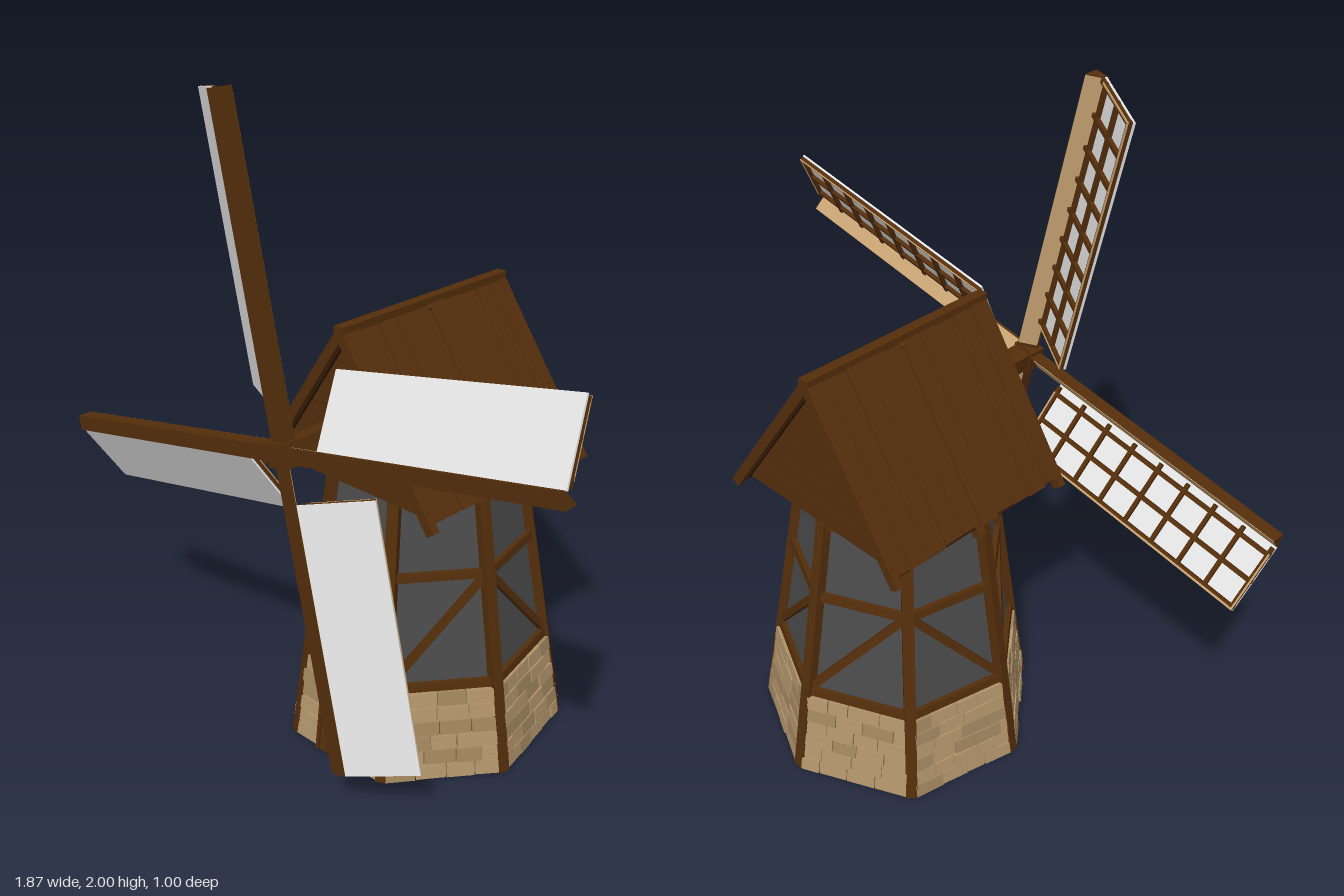
import * as THREE from 'three';

const mat = (name, color) => Object.assign(new THREE.MeshStandardMaterial({ color }), { name });
const wood = mat('brown wood', 0x542e0b);
const darkWood = mat('dark wood', 0x2e1806);
const paleWood = mat('pale wood', 0xc8a473);
const plaster = mat('grey plaster', 0x4b4b4b);
const stone = mat('sandstone', 0xb3966c);
const stoneDark = mat('dark sandstone', 0xa48860);
const mortar = mat('mortar', 0x5e4a32);
const cloth = mat('sail cloth', 0xe8e8e8);

const SIDES = 7, ZC = -0.07, HALF = Math.PI / SIDES;
const STONE_TOP = 0.28, RAIL = 0.63, TOP = 0.88;
const radius = y => 0.42 - 0.152 * y;
const halfWidth = y => radius(y) * Math.sin(HALF);

let seed = 7;
const rand = () => (seed = (seed * 16807) % 2147483647) / 2147483647;

function add(parent, name, geometry, material, x = 0, y = 0, z = 0) {
  const m = new THREE.Mesh(geometry, material);
  m.name = name;
  m.position.set(x, y, z);
  parent.add(m);
  return m;
}
const box = (parent, name, material, w, h, d, x, y, z) =>
  add(parent, name, new THREE.BoxGeometry(w, h, d), material, x, y, z);

// Flat bar between two points in a parent's xy plane
function bar(parent, name, material, x0, y0, x1, y1, width, depth, z) {
  const dx = x1 - x0, dy = y1 - y0;
  const m = box(parent, name, material, Math.hypot(dx, dy), width, depth, (x0 + x1) / 2, (y0 + y1) / 2, z);
  m.rotation.z = Math.atan2(dy, dx);
}

// Materials are for the sides, top and bottom
function sevenSided(parent, name, materials, y0, y1, inset) {
  const g = new THREE.CylinderGeometry(radius(y1) - inset, radius(y0) - inset, y1 - y0, SIDES);
  const flat = g.toNonIndexed();
  flat.computeVertexNormals();
  add(parent, name, flat, materials, 0, (y0 + y1) / 2, 0).rotation.y = HALF;
}

// Courses of uneven stones over one face
function stoneCourses(face) {
  const rows = 6, h = STONE_TOP / rows;
  for (let r = 0; r < rows; r++) {
    const y = (r + 0.5) * h, end = halfWidth(y) - 0.008;
    let x = -end;
    while (x < end - 0.005) {
      let w = (r % 2 && x === -end ? 0.035 : 0.06) + rand() * 0.04;
      if (x + w > end - 0.03) w = end - x;
      const d = 0.022 + rand() * 0.006;
      const block = box(face, 'stone', rand() < 0.7 ? stone : stoneDark, w - 0.003, h - 0.004, d, x + w / 2, y, d / 2 - 0.012);
      block.rotation.z = (rand() - 0.5) * 0.04;
      x += w;
    }
  }
}

function door(face) {
  const d = new THREE.Group();
  d.name = 'door';
  d.position.z = -0.008;
  face.add(d);
  box(d, 'doorBacking', darkWood, 0.15, 0.21, 0.02, 0, 0.105, 0.016);
  for (let i = 0; i < 4; i++)
    box(d, 'doorPlank', wood, 0.0275, 0.2, 0.01, -0.046 + i * 0.0305, 0.101, 0.024);
  for (const s of [-1, 1]) box(d, 'doorJamb', wood, 0.012, 0.21, 0.028, s * 0.07, 0.105, 0.016);
  box(d, 'doorLintel', wood, 0.17, 0.024, 0.028, 0, 0.22, 0.016);
  add(d, 'doorKnob', new THREE.SphereGeometry(0.008, 10, 8), paleWood, -0.045, 0.12, 0.03);
}

function buildTower() {
  const tower = new THREE.Group();
  tower.name = 'tower';
  tower.position.z = ZC;
  sevenSided(tower, 'stoneCore', [mortar, mortar, stone], 0, STONE_TOP, 0.004);
  sevenSided(tower, 'plasterWall', [plaster, plaster, plaster], STONE_TOP, TOP, 0.012);

  for (let i = 0; i < SIDES; i++) {
    const a = Math.PI + HALF * (2 * i + 1);
    // Face frame: x along the wall, y up the slope, z outward
    const face = new THREE.Group();
    face.name = 'wallFace';
    const apothem = radius(0) * Math.cos(HALF);
    face.position.set(Math.sin(a) * apothem, 0, Math.cos(a) * apothem);
    face.rotation.set(-Math.atan(0.152 * Math.cos(HALF)), a, 0, 'YXZ');
    tower.add(face);
    stoneCourses(face);
    for (const y of [0.292, RAIL, TOP - 0.01])
      box(face, 'rail', wood, 2 * halfWidth(y), 0.026, 0.026, 0, y * 1.009, -0.007);
    const s = i % 2 ? -1 : 1;
    bar(face, 'diagonalBrace', wood, -s * (halfWidth(0.3) - 0.012), 0.31, s * (halfWidth(RAIL) - 0.012), 0.625, 0.024, 0.022, -0.008);
    if (i === 3) door(face);

    // Corner post
    const v = a + HALF, rb = radius(0) - 0.006, rt = radius(TOP) - 0.006;
    const post = box(tower, 'cornerPost', wood, 0.034, Math.hypot(TOP, rb - rt), 0.03,
      Math.sin(v) * (rb + rt) / 2, TOP / 2 + 0.001, Math.cos(v) * (rb + rt) / 2);
    post.rotation.set(-Math.atan2(rb - rt, TOP), v, 0, 'YXZ');
  }
  return tower;
}

function buildRoof() {
  const roof = new THREE.Group();
  roof.name = 'roof';
  const RIDGE = 1.355, EAVE = 0.88, REACH = 0.33, Z0 = -0.4, Z1 = 0.27;
  const slope = Math.hypot(RIDGE - EAVE, REACH), angle = Math.atan2(RIDGE - EAVE, REACH);
  const span = y => REACH * (RIDGE - y) / (RIDGE - EAVE) - 0.022;

  // Gable block with overlaid horizontal boards at both ends
  const trapezoid = (y0, y1, depth) => new THREE.ExtrudeGeometry(new THREE.Shape([
    new THREE.Vector2(-span(y0), y0), new THREE.Vector2(span(y0), y0),
    new THREE.Vector2(Math.max(span(y1), 0.001), y1), new THREE.Vector2(-Math.max(span(y1), 0.001), y1),
  ]), { depth, bevelEnabled: false });
  add(roof, 'gableBlock', trapezoid(TOP - 0.005, 1.322, 0.58), wood, 0, 0, -0.355);
  const rows = 6, h = (1.32 - TOP) / rows;
  for (const z of [-0.361, 0.225]) {
    add(roof, 'gableGaps', trapezoid(TOP, 1.32, 0.006), darkWood, 0, 0, z);
    for (let r = 0; r < rows; r++)
      add(roof, 'gableBoard', trapezoid(TOP + r * h, TOP + (r + 1) * h - 0.003, 0.01), wood, 0, 0, z - 0.002);
  }

  // Two slopes; local x runs down from the ridge
  for (const s of [-1, 1]) {
    const side = new THREE.Group();
    side.name = 'roofSlope';
    side.position.y = RIDGE;
    side.rotation.set(0, s > 0 ? 0 : Math.PI, -angle, 'YXZ');
    roof.add(side);
    const mid = (Z0 + Z1) / 2 * s;
    box(side, 'roofSheathing', darkWood, slope - 0.01, 0.016, Z1 - Z0 - 0.01, slope / 2, -0.014, mid);
    const n = 10, w = (Z1 - Z0) / n;
    for (let i = 0; i < n; i++) {
      const len = slope - rand() * 0.015;
      const plank = box(side, 'roofPlank', wood, len, 0.012, w - 0.003, len / 2, -0.002 + rand() * 0.004, mid + (i - (n - 1) / 2) * w);
      plank.rotation.y = (rand() - 0.5) * 0.012;
    }
    for (const z of [Z0 + 0.012, (Z0 + Z1) / 2, Z1 - 0.012])
      box(side, 'rafter', wood, slope + 0.02, 0.03, 0.024, slope / 2 + 0.01, z < -0.1 || z > 0.1 ? -0.008 : -0.018, z * s);
  }
  box(roof, 'ridgeBeam', wood, 0.032, 0.022, Z1 - Z0 + 0.004, 0, RIDGE - 0.003, (Z0 + Z1) / 2);
  return roof;
}

function buildSails() {
  const rotor = new THREE.Group();
  rotor.name = 'sails';
  rotor.position.y = 1.065;
  box(rotor, 'shaft', wood, 0.06, 0.06, 0.31, 0, 0, 0.35);
  box(rotor, 'hub', wood, 0.07, 0.07, 0.055, 0, 0, 0.478);
  rotor.rotation.z = 0.205;

  // Wedge-section spar, extruded along the blade
  const sparShape = new THREE.Shape([[0.023, -0.493], [0.023, -0.449], [-0.023, -0.485], [-0.023, -0.493]]
    .map(p => new THREE.Vector2(...p)));
  const sparGeometry = new THREE.ExtrudeGeometry(sparShape, { depth: 0.95, bevelEnabled: false }).rotateX(-Math.PI / 2);

  for (let k = 0; k < 4; k++) {
    const blade = new THREE.Group();
    blade.name = 'blade';
    blade.rotation.z = k * Math.PI / 2;
    rotor.add(blade);
    add(blade, 'spar', sparGeometry, wood);
    // Pale planed face on the back of the wedge
    const planed = box(blade, 'sparPlanedFace', paleWood, 0.057, 0.9, 0.002, 0, 0.497, 0.4665);
    planed.rotation.y = Math.atan2(0.036, 0.046);

    // Sail slants backward from the spar; lattice lies behind the cloth
    const sail = new THREE.Group();
    sail.name = 'sail';
    sail.position.set(-0.02, 0.548, 0.482);
    sail.rotation.y = -0.53;
    blade.add(sail);
    const W = 0.22, L = 0.81;
    box(sail, 'sailCloth', cloth, W, L, 0.006, -W / 2, 0, 0);
    for (const x of [-0.03, -W / 2 - 0.01, -W + 0.01])
      box(sail, 'latticeBar', wood, 0.012, L, 0.012, x, 0, -0.009);
    for (let i = 0; i < 9; i++)
      box(sail, 'latticeRung', wood, W - 0.012, 0.012, 0.012, -W / 2, (i / 8 - 0.5) * (L - 0.014), -0.01);
    // Narrow pale edging on the back
    box(sail, 'sailHem', paleWood, 0.006, L, 0.003, -W + 0.005, 0, -0.0165);
    for (const s of [-1, 1])
      box(sail, 'sailHem', paleWood, W - 0.03, 0.005, 0.003, -W / 2 - 0.01, s * (L / 2 - 0.003), -0.0165);
  }
  return rotor;
}

export function createModel() {
  const windmill = new THREE.Group();
  windmill.name = 'windmill';
  windmill.add(buildTower(), buildRoof(), buildSails());
  return windmill;
}
